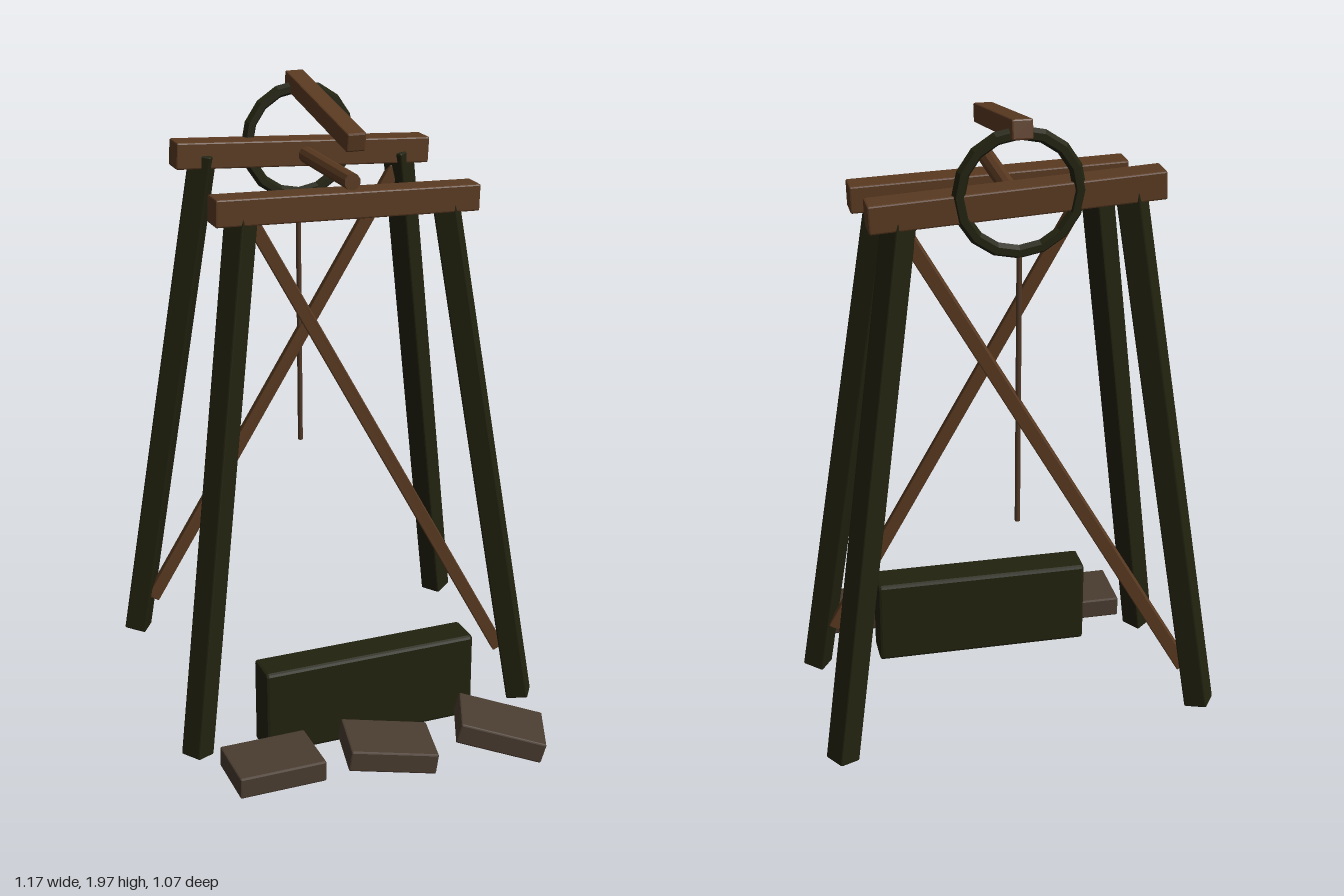
import * as THREE from 'three';
import { RoundedBoxGeometry } from 'three/addons/geometries/RoundedBoxGeometry.js';

const mat = (name, color) => {
  const m = new THREE.MeshStandardMaterial({ color });
  m.name = name;
  return m;
};

export function createModel() {
  const darkWood = mat('dark green wood', 0x22220f);
  const brownWood = mat('brown wood', 0x5a3a21);
  const slabBrown = mat('grey brown', 0x4a3c30);
  const ropeBrown = mat('rope brown', 0x523a28);

  const model = new THREE.Group();
  model.name = 'wellFrame';

  const add = (name, geometry, material) => {
    const mesh = new THREE.Mesh(geometry, material);
    mesh.name = name;
    model.add(mesh);
    return mesh;
  };

  // Box with small flat chamfers
  const chamferBox = (w, h, d, bevel) => {
    const g = new RoundedBoxGeometry(w, h, d, 1, bevel);
    g.computeVertexNormals();
    return g;
  };

  // Straight timber from a to b; "side" is its horizontal width, "depth" the other
  const beam = (name, a, b, side, depth, material, bevel = 0.005) => {
    const from = new THREE.Vector3(...a), to = new THREE.Vector3(...b);
    const along = to.clone().sub(from);
    const length = along.length();
    along.normalize();
    const across = along.clone().cross(new THREE.Vector3(0, 1, 0)).normalize();
    const third = across.clone().cross(along);
    const mesh = add(name, chamferBox(side, length, depth, bevel), material);
    mesh.quaternion.setFromRotationMatrix(new THREE.Matrix4().makeBasis(across, along, third));
    mesh.position.copy(from).lerp(to, 0.5);
    return mesh;
  };

  // Splayed legs: side, foot and top heights, foot and top z
  for (const [name, s, footY, topY, footZ, topZ] of [
    ['frontRightLeg', -1, 0.07, 1.695, 0.163, 0.012],
    ['frontLeftLeg', 1, 0.05, 1.675, 0.163, 0.012],
    ['backRightLeg', -1, 0.185, 1.785, -0.49, -0.342],
    ['backLeftLeg', 1, 0.135, 1.745, -0.49, -0.342],
  ]) beam(name, [s * 0.54, footY, footZ], [s * 0.314, topY, topZ], 0.07, 0.07, darkWood);

  // Slightly sagging top beams
  beam('frontTopBeam', [-0.405, 1.703, 0.02], [0.405, 1.677, 0.02], 0.08, 0.08, brownWood);
  beam('backTopBeam', [-0.405, 1.787, -0.35], [0.405, 1.742, -0.35], 0.08, 0.08, brownWood);

  // Diagonal braces
  beam('frontBrace', [-0.3, 1.69, 0.003], [0.485, 0.21, 0.111], 0.03, 0.04, brownWood, 0.003);
  beam('backBrace', [0.305, 1.69, -0.342], [-0.495, 0.3, -0.455], 0.03, 0.04, brownWood, 0.003);

  // Round pole joining the two top beams
  const pole = add('crossPole',
    new THREE.CylinderGeometry(0.025, 0.025, 0.385, 10).toNonIndexed(), brownWood);
  pole.geometry.computeVertexNormals();
  pole.rotation.x = Math.PI / 2;
  pole.position.set(0, 1.76, -0.128);

  // Sloping lever over the wheel
  beam('lever', [0, 1.878, 0.095], [0, 1.972, -0.415], 0.058, 0.055, brownWood);

  // Pulley ring
  const ring = add('pulleyRing',
    new THREE.TorusGeometry(0.164, 0.019, 6, 16).toNonIndexed(), darkWood);
  ring.geometry.computeVertexNormals();
  ring.position.set(0, 1.79, -0.38);

  // Hanging rope
  const rope = add('rope', new THREE.CylinderGeometry(0.008, 0.008, 0.82, 6), ropeBrown);
  rope.position.set(0, 1.22, -0.385);

  // Upright panel at the front
  const panel = add('frontPanel', chamferBox(0.68, 0.275, 0.112, 0.01), darkWood);
  panel.position.set(0, 0.193, 0.174);

  // Loose stepping slabs: position, turn, tilt
  for (const [x, y, z, turn, tilt] of [
    [-0.357, 0.09, 0.328, 0, 0],
    [0, 0.088, 0.361, -0.21, -0.14],
    [0.357, 0.093, 0.395, -0.4, -0.26],
  ]) {
    const slab = add('steppingSlab', chamferBox(0.268, 0.066, 0.195, 0.005), slabBrown);
    slab.position.set(x, y, z);
    slab.rotation.set(0, turn, tilt);
  }

  return model;
}
